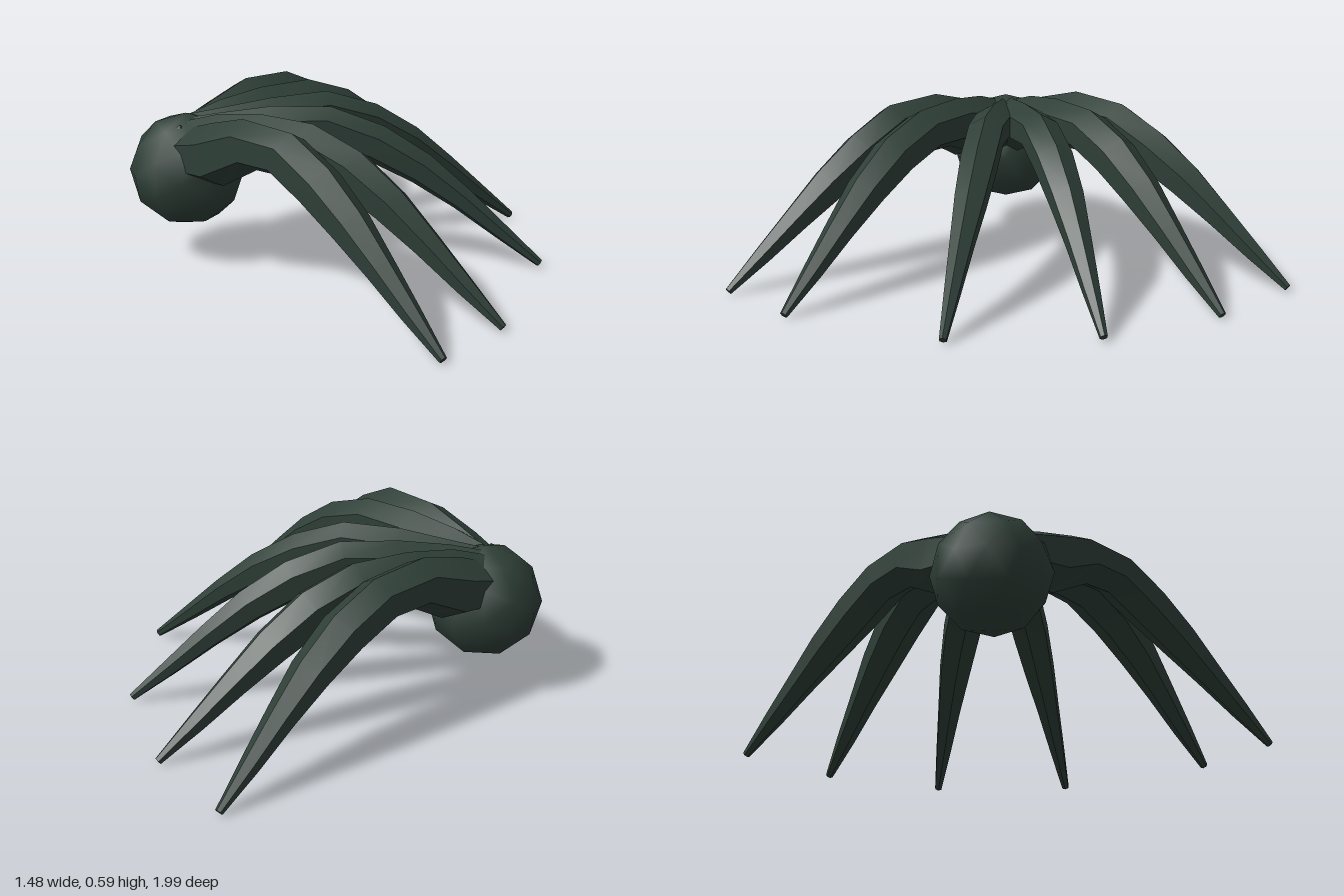
import * as THREE from 'three';
import { mergeVertices, toCreasedNormals } from 'three/addons/utils/BufferGeometryUtils.js';

const SIDES = 6;
// Leg radius from root to tip, at equal steps along the leg
const RADII = [0.085, 0.112, 0.09, 0.084, 0.083, 0.071, 0.052, 0.035, 0.014];

// Tapered limb with a ridge on top, lofted along a curve
function limbGeometry(curve, thickness) {
  const up = new THREE.Vector3(0, 1, 0);
  const position = [];
  const index = [];
  const last = RADII.length - 1;
  RADII.forEach((radius, i) => {
    const c = curve.getPointAt(i / last);
    const tangent = curve.getTangentAt(i / last);
    const side = tangent.clone().cross(up).normalize();
    const top = side.clone().cross(tangent);
    const r = i === last ? radius : radius * thickness;
    for (let k = 0; k < SIDES; k++) {
      const a = (k / SIDES) * Math.PI * 2;
      const p = c.clone()
        .addScaledVector(side, Math.sin(a) * r)
        .addScaledVector(top, Math.cos(a) * r);
      position.push(p.x, p.y, p.z);
    }
  });
  for (let i = 0; i < last; i++) {
    for (let k = 0; k < SIDES; k++) {
      const a = i * SIDES + k;
      const b = i * SIDES + (k + 1) % SIDES;
      index.push(a, b, a + SIDES, b, b + SIDES, a + SIDES);
    }
  }
  // end caps
  for (let k = 1; k < SIDES - 1; k++) {
    index.push(0, k + 1, k);
    index.push(last * SIDES, last * SIDES + k, last * SIDES + k + 1);
  }
  const g = new THREE.BufferGeometry();
  g.setAttribute('position', new THREE.Float32BufferAttribute(position, 3));
  g.setIndex(index);
  return toCreasedNormals(g, 0.8);
}

export function createModel() {
  const group = new THREE.Group();
  const skin = new THREE.MeshStandardMaterial({ color: 0x2f3f38, side: THREE.DoubleSide });
  skin.name = 'dark green';

  const add = (name, geometry) => {
    const mesh = new THREE.Mesh(geometry, skin);
    mesh.name = name;
    group.add(mesh);
    return mesh;
  };

  // Faceted ball with smooth shading
  const ball = new THREE.IcosahedronGeometry(0.208, 1);
  ball.deleteAttribute('normal');
  ball.deleteAttribute('uv');
  const body = mergeVertices(ball, 1e-4);
  body.computeVertexNormals();
  add('body', body).position.set(-0.54, 0.325, 0.01);

  // Each leg arches from the root over its crest and knee down to the tip
  const addLeg = (name, thickness, ...points) => {
    const curve = new THREE.CatmullRomCurve3(points.map((p) => new THREE.Vector3(...p)));
    add(name, limbGeometry(curve, thickness));
  };
  addLeg('frontOuterLeg', 1, [-0.55, 0.4, 0.07], [-0.42, 0.43, 0.19], [-0.25, 0.515, 0.355], [-0.08, 0.425, 0.53], [0.285, 0.014, 0.983]);
  addLeg('frontMiddleLeg', 1, [-0.56, 0.42, 0.04], [-0.42, 0.44, 0.11], [-0.17, 0.5, 0.265], [0.05, 0.425, 0.425], [0.505, 0.014, 0.755]);
  addLeg('frontInnerLeg', 0.86, [-0.57, 0.44, 0.02], [-0.42, 0.44, 0.03], [-0.08, 0.505, 0.075], [0.25, 0.38, 0.122], [0.722, 0.016, 0.212]);
  addLeg('backInnerLeg', 0.9, [-0.57, 0.44, -0.01], [-0.42, 0.44, -0.02], [-0.07, 0.505, -0.105], [0.2, 0.405, -0.177], [0.7, 0.016, -0.304]);
  addLeg('backMiddleLeg', 1, [-0.56, 0.42, -0.02], [-0.42, 0.44, -0.09], [-0.17, 0.5, -0.25], [0.03, 0.435, -0.38], [0.51, 0.014, -0.715]);
  addLeg('backOuterLeg', 1, [-0.55, 0.4, -0.04], [-0.44, 0.43, -0.14], [-0.27, 0.515, -0.325], [-0.07, 0.415, -0.54], [0.254, 0.014, -0.985]);

  // Small ragged lumps where the legs gather above the ball
  for (let i = 0; i < 3; i++) {
    const lump = add(`rootLump${i + 1}`, new THREE.IcosahedronGeometry(0.035, 0));
    lump.position.set(-0.56, 0.475, -0.055 + i * 0.07);
    lump.rotation.set(0.2 + i * 0.7, 0.1 + i * 0.4, 0);
  }

  return group;
}
